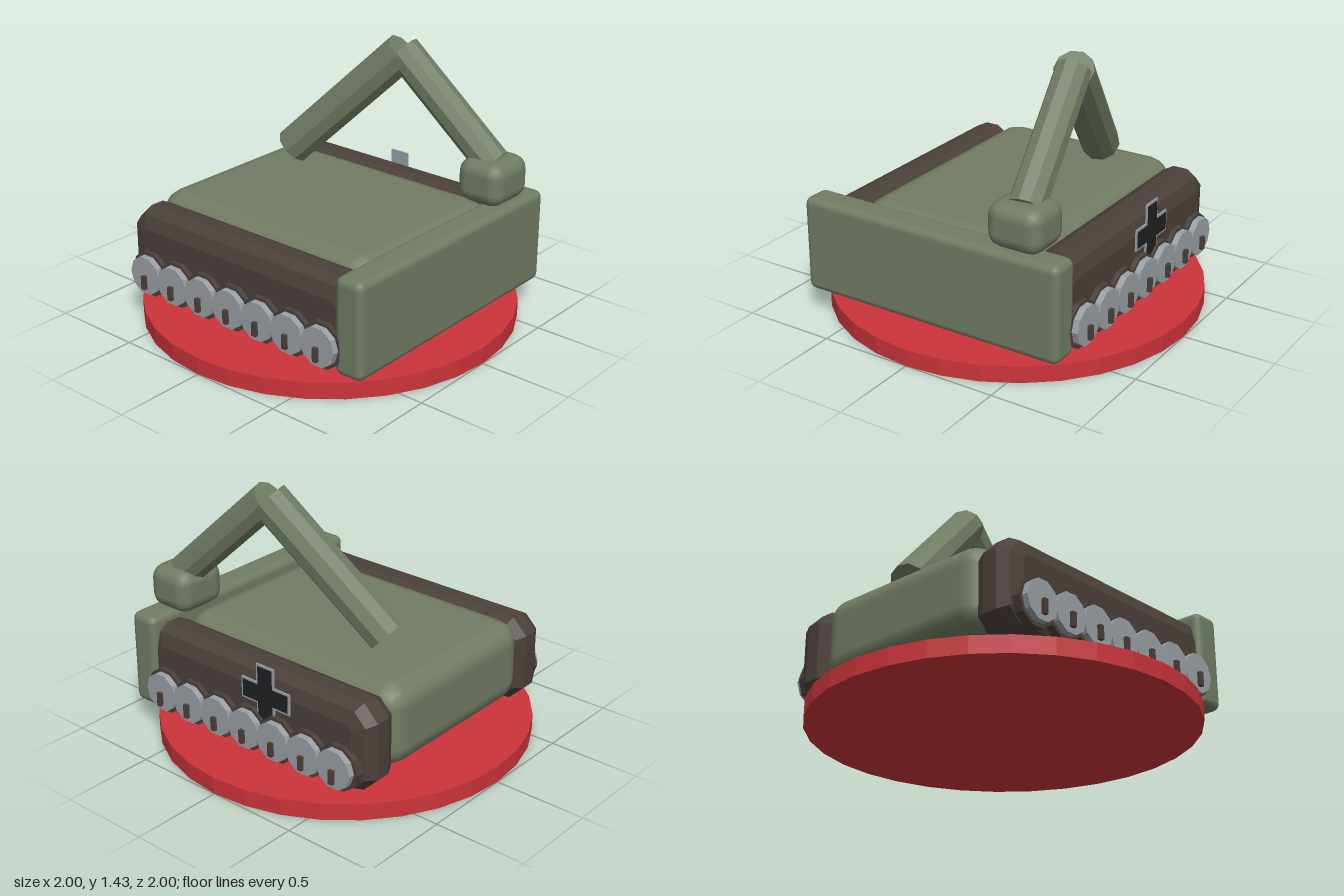
import * as THREE from 'three';
import { RoundedBoxGeometry } from 'three/addons/geometries/RoundedBoxGeometry.js';

export function createModel() {
  const model = new THREE.Group();
  model.name = 'trackedVehicle';

  const mat = (name, color, flatShading = false) => {
    const m = new THREE.MeshStandardMaterial({ color, flatShading });
    m.name = name;
    return m;
  };
  const green = mat('olive green', 0x717c64);
  const brown = mat('dark brown', 0x4b403b, true);
  const grey = mat('wheel grey', 0x9aa0a5, true);
  const red = mat('base red', 0xcb343a, true);
  const black = mat('black', 0x202122, true);

  const add = (name, geometry, material, x = 0, y = 0, z = 0, parent = model) => {
    const mesh = new THREE.Mesh(geometry, material);
    mesh.name = name;
    mesh.position.set(x, y, z);
    parent.add(mesh);
    return mesh;
  };

  // Display base
  add('base', new THREE.CylinderGeometry(1, 1, 0.09, 32), red, 0, 0.045, 0);

  // Hull and front plate
  add('hull', new RoundedBoxGeometry(1.08, 0.45, 1.44, 2, 0.12), green, 0, 0.405, -0.04);
  add('frontPlate', new RoundedBoxGeometry(1.51, 0.515, 0.165, 2, 0.04), green, 0, 0.398, 0.747);

  // Track profile seen from the side, bevelled across its width
  const L = 0.755, lo = 0.13, hi = 0.605, c = 0.085;
  const profile = new THREE.Shape([
    [-L, lo + c], [-L + c, lo], [L - c, lo], [L, lo + c],
    [L, hi - c], [L - c, hi], [-L + c, hi], [-L, hi - c],
  ].map(([a, b]) => new THREE.Vector2(a, b)));
  const trackGeo = new THREE.ExtrudeGeometry(profile, {
    depth: 0.08, bevelThickness: 0.08, bevelSize: 0.1, bevelOffset: -0.1, bevelSegments: 2,
  });
  trackGeo.translate(0, 0, -0.04).rotateY(Math.PI / 2);

  const disc = (r, width) => new THREE.CylinderGeometry(r, r, width, 10).rotateZ(Math.PI / 2);
  const tyreGeo = disc(0.125, 0.1);
  const wheelGeo = disc(0.106, 0.05);
  const hubGeo = new THREE.BoxGeometry(0.03, 0.075, 0.026);

  // Tracks and seven road wheels on each side
  for (const s of [1, -1]) {
    const side = new THREE.Group();
    side.name = s > 0 ? 'leftTrack' : 'rightTrack';
    model.add(side);
    add('trackBelt', trackGeo, brown, s * 0.61, 0, 0, side);
    for (let i = -3; i <= 3; i++) {
      const z = i * 0.197;
      add('tyre', tyreGeo, brown, s * 0.705, 0.27, z, side);
      add('wheel', wheelGeo, grey, s * 0.763, 0.272, z, side);
      add('wheelHandle', hubGeo, brown, s * 0.793, 0.237, z, side);
    }
  }

  // Cross marking on the left side: grey backing and a black face
  const cross = (arm, half, thickness) => {
    const pts = [];
    const corner = [[arm, -half], [arm, half], [half, half]];
    for (let q = 0; q < 4; q++) {
      for (const [a, b] of corner) {
        pts.push(new THREE.Vector2(a, b).rotateAround(new THREE.Vector2(), q * Math.PI / 2));
      }
    }
    return new THREE.ExtrudeGeometry(new THREE.Shape(pts), { depth: thickness, bevelEnabled: false })
      .rotateY(Math.PI / 2);
  };
  add('crossBorder', cross(0.16, 0.058, 0.008), grey, 0.73, 0.482, -0.113);
  add('crossFace', cross(0.148, 0.046, 0.004), black, 0.738, 0.482, -0.113);

  // Jointed arm on a rounded mount
  add('armMount', new RoundedBoxGeometry(0.305, 0.235, 0.27, 2, 0.075), green, 0.485, 0.772, 0.683);
  const greenFlat = mat('olive green faceted', 0x717c64, true);
  const rod = (name, a, b, r) => {
    const from = new THREE.Vector3(...a), to = new THREE.Vector3(...b);
    const dir = to.clone().sub(from);
    const mesh = add(name, new THREE.CylinderGeometry(r, r, dir.length(), 10), greenFlat);
    mesh.position.copy(from).add(to).multiplyScalar(0.5);
    mesh.quaternion.setFromUnitVectors(new THREE.Vector3(0, 1, 0), dir.normalize());
  };
  rod('lowerArm', [0.49, 0.845, 0.68], [0.415, 1.36, 0.139], 0.092);
  rod('upperArm', [0.23, 0.737, -0.463], [0.415, 1.355, 0.142], 0.104);

  return model;
}
